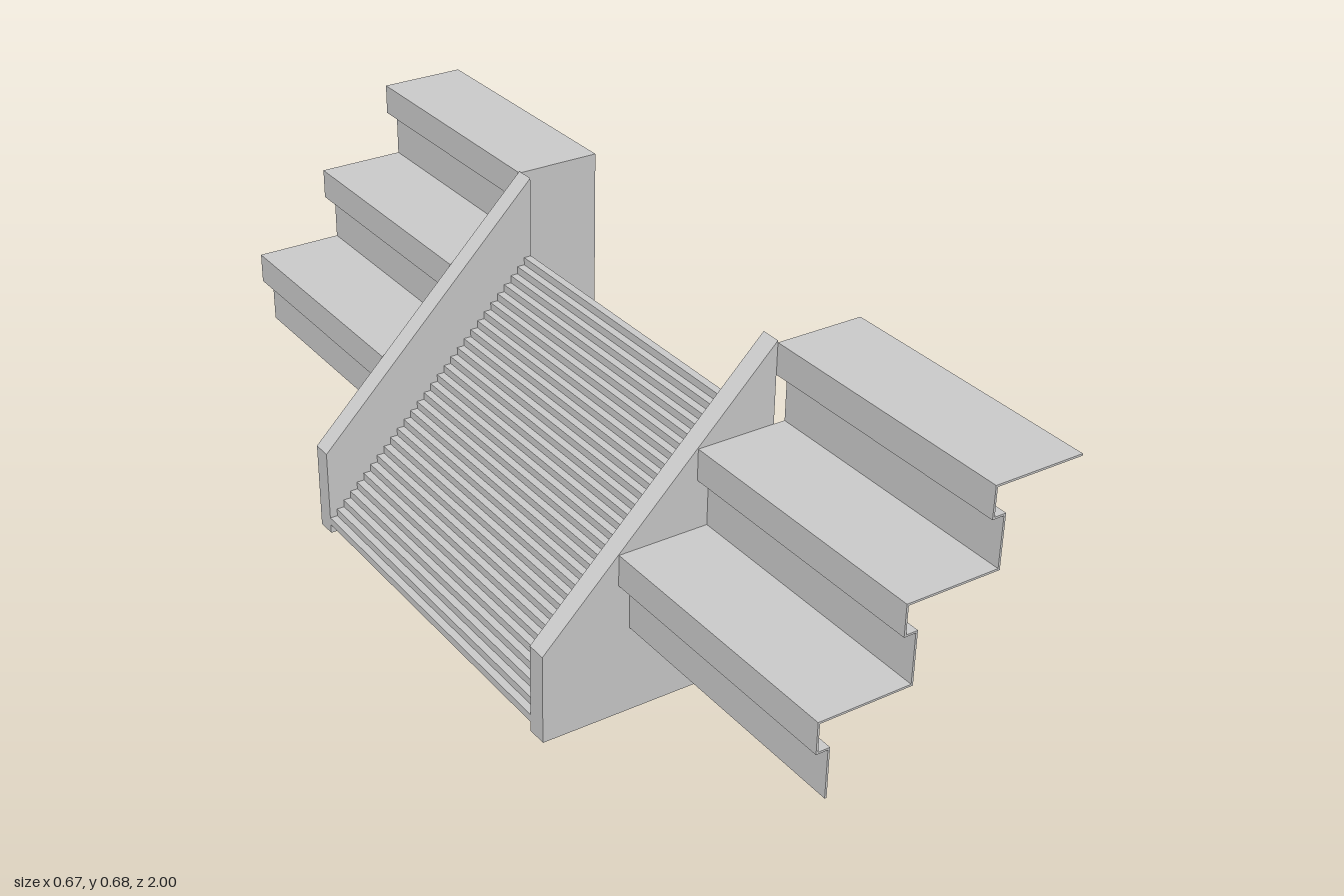
import * as THREE from 'three';

const mat = new THREE.MeshStandardMaterial({ color: 0xcccccc, flatShading: true, side: THREE.DoubleSide });

const toShape = (pts) => new THREE.Shape(pts.map(([x, y]) => new THREE.Vector2(x, y)));

// Extrude an x-y outline from z0 to z1
function slab(name, pts, z0, z1) {
  const geo = new THREE.ExtrudeGeometry(toShape(pts), { depth: z1 - z0, bevelEnabled: false });
  geo.translate(0, 0, z0);
  const mesh = new THREE.Mesh(geo, mat);
  mesh.name = name;
  return mesh;
}

// Stair line from the lowest riser to the top landing, with overhanging nosings
function stairLine() {
  const pts = [[-0.152, 0.183]];
  for (let i = 0; i < 3; i++) {
    const x = -0.152 + i * 0.164, y = 0.281 + i * 0.164;
    pts.push([x, y], [x - 0.024, y], [x - 0.024, y + 0.064]);
    pts.push([i < 2 ? x + 0.164 : 0.335, y + 0.064]);
  }
  return pts;
}

// Give an axis-aligned line a thickness on its lower right side
function thicken(line, t) {
  const inner = line.map(([x, y], i) => {
    let ox = 0, oy = 0;
    for (const [a, b] of [[line[i - 1], line[i]], [line[i], line[i + 1]]]) {
      if (!a || !b) continue;
      if (Math.abs(b[0] - a[0]) < 1e-6) ox = t;
      else oy = b[0] > a[0] ? -t : t;
    }
    return [x + ox, y + oy];
  });
  return [...line, ...inner.reverse()];
}

export function createModel() {
  const model = new THREE.Group();
  const line = stairLine();
  const wall = [[-0.335, 0], [0.152, 0], [0.152, 0.677], [-0.335, 0.187]];

  // Both sides: sloped wall, stair end plate and folded stair flight
  for (const s of [1, -1]) {
    const span = (a, b) => (s > 0 ? [a, b] : [-b, -a]);
    const side = new THREE.Group();
    side.name = s > 0 ? 'leftSide' : 'rightSide';
    side.add(slab('slopedWall', wall, ...span(0.392, 0.434)));
    side.add(slab('stairEndPlate', [...line, [0.335, 0.183]], ...span(0.434, 0.436)));
    side.add(slab('stairFlight', thicken(line, 0.004), ...span(0.436, 1)));
    model.add(side);
  }

  // Finely stepped ramp between the walls, open underneath
  const n = 30, x0 = -0.335, y0 = 0.02, run = 0.487 / n, rise = 0.485 / n;
  const pos = [];
  const quad = (xa, ya, xb, yb) => {
    const z = 0.392;
    pos.push(xa, ya, -z, xa, ya, z, xb, yb, z, xa, ya, -z, xb, yb, z, xb, yb, -z);
  };
  for (let i = 0; i < n; i++) {
    const x = x0 + i * run, y = y0 + i * rise;
    quad(x, y, x, y + rise);
    quad(x, y + rise, x + run, y + rise);
  }
  const geo = new THREE.BufferGeometry();
  geo.setAttribute('position', new THREE.Float32BufferAttribute(pos, 3));
  geo.computeVertexNormals();
  const ramp = new THREE.Mesh(geo, mat);
  ramp.name = 'steppedRamp';
  model.add(ramp);
  return model;
}
